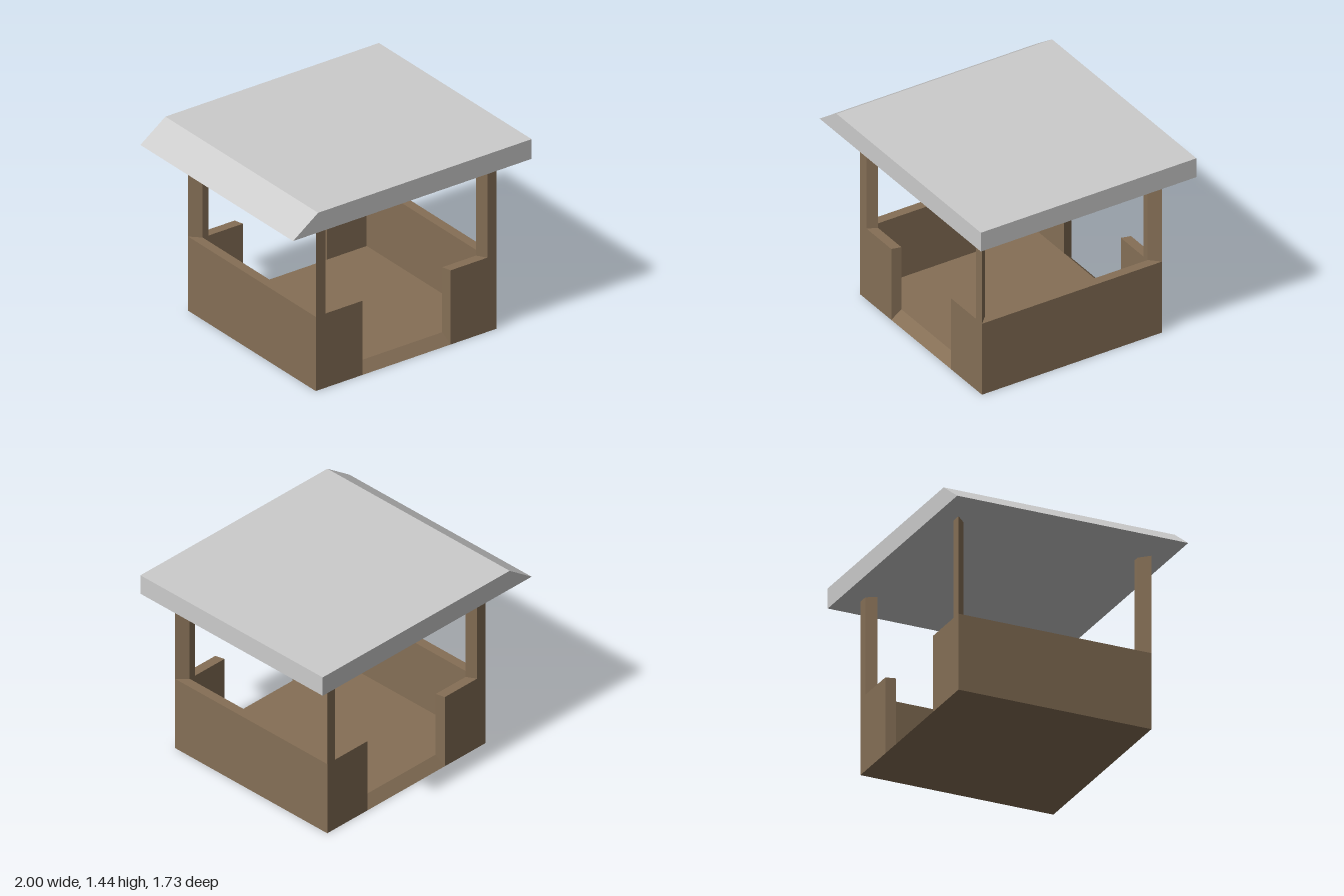
import * as THREE from 'three';

const wood = new THREE.MeshStandardMaterial({ color: 0x856f56, flatShading: true });
const grey = new THREE.MeshStandardMaterial({ color: 0xcccccc, flatShading: true });

const shapeOf = (pts) => new THREE.Shape(pts.map(([x, y]) => new THREE.Vector2(x, y)));

function extrude(pts, depth) {
  return new THREE.ExtrudeGeometry(shapeOf(pts), { depth, bevelEnabled: false });
}

// Upright prism from a plan outline of [x, z] points
function prism(plan, y0, y1) {
  const geo = extrude(plan.map(([x, z]) => [x, -z]), y1 - y0);
  return geo.rotateX(-Math.PI / 2).translate(0, y0, 0);
}

export function createModel() {
  const model = new THREE.Group();
  const add = (name, geo, material = wood) => {
    const mesh = new THREE.Mesh(geo, material);
    mesh.name = name;
    model.add(mesh);
  };

  const wallTop = 0.565, roofBase = 1.29, roofTop = 1.44, floorTop = 0.07;
  // Outer and inner faces of the mitred walls
  const ends = [
    { name: 'front', out: 0.73, in: 0.66 },
    { name: 'back', out: -0.715, in: -0.645 },
  ];
  // Wall corner, post edge and doorway edge, each on the outer and inner face
  const sides = [
    { name: 'Right', corner: [-0.71, -0.64], post: [-0.63, -0.59], door: [-0.32, -0.303] },
    { name: 'Left', corner: [0.805, 0.735], post: [0.73, 0.685], door: [0.42, 0.402] },
  ];

  for (const s of sides) {
    // Solid low wall along the side, mitred at both corners
    const [f, b] = ends;
    add(`side${s.name}Wall`, prism([
      [s.corner[0], f.out], [s.corner[1], f.in], [s.corner[1], b.in], [s.corner[0], b.out],
    ], 0, wallTop));

    // Half walls beside the doorways, and the corner posts above them
    for (const e of ends) {
      const plan = (edge) => [
        [s.corner[0], e.out], [edge[0], e.out], [edge[1], e.in], [s.corner[1], e.in],
      ];
      add(`${e.name}${s.name}Wall`, prism(plan(s.door), 0, wallTop));
      add(`${e.name}${s.name}Post`, prism(plan(s.post), wallTop, roofBase));
    }
  }

  // Floor with sloped sills at the front and back doorways
  const floor = extrude([
    [-ends[0].out, 0], [-ends[1].out, 0], [-ends[1].in, floorTop], [-ends[0].in, floorTop],
  ], 1.375);
  add('floor', floor.rotateY(Math.PI / 2).translate(-0.64, 0, 0));

  // Roof slab with one slanted edge
  const roof = extrude([[-1, roofBase], [1, roofBase], [1, roofTop], [-0.79, roofTop]], 1.73);
  add('roof', roof.translate(0, 0, -0.865), grey);

  return model;
}
